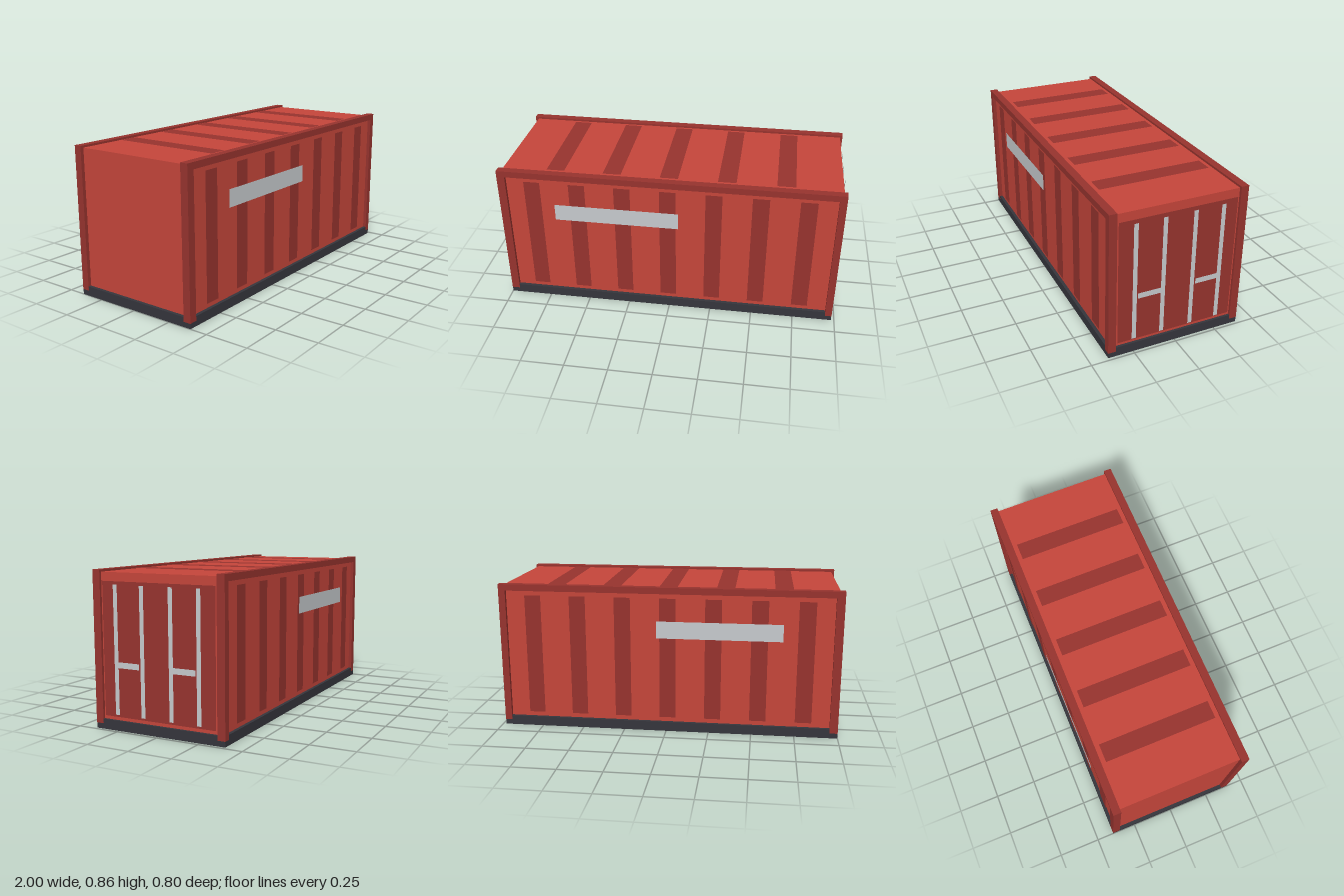
import * as THREE from 'three';

const mat = (name, color) => {
  const m = new THREE.MeshStandardMaterial({ color, side: THREE.DoubleSide });
  m.name = name;
  return m;
};

export function createModel() {
  const red = mat('containerRed', 0xc4453a);
  const darkRed = mat('darkRed', 0x96332e);
  const silver = mat('silver', 0xc5c9cc);
  const charcoal = mat('charcoal', 0x35353c);
  const model = new THREE.Group();
  model.name = 'shippingContainer';

  // Box given by its lower and upper corners
  const box = (name, material, [x0, y0, z0], [x1, y1, z1]) => {
    const mesh = new THREE.Mesh(new THREE.BoxGeometry(x1 - x0, y1 - y0, z1 - z0), material);
    mesh.position.set((x0 + x1) / 2, (y0 + y1) / 2, (z0 + z1) / 2);
    mesh.name = name;
    model.add(mesh);
  };
  // Flat plate facing +z, turned about x or y
  const plate = (name, material, w, h, pos, rx = 0, ry = 0) => {
    const mesh = new THREE.Mesh(new THREE.PlaneGeometry(w, h), material);
    mesh.position.set(...pos);
    mesh.rotation.set(rx, ry, 0);
    mesh.name = name;
    model.add(mesh);
  };

  const L = -1, R = 0.983, W = 0.397, H = 0.862, MID = -0.008;

  // Body shell
  box('body', red, [-0.98, 0.047, -0.377], [0.968, 0.85, 0.377]);

  // Base skirt, open underneath
  const e = 0.001, yb = 0.055;
  for (const s of [-1, 1]) {
    const z = [s * (W - e), s * 0.375].sort((a, b) => a - b);
    box('baseSideRail', charcoal, [L + e, 0, z[0]], [R - e, yb, z[1]]);
  }
  box('baseEndRail', charcoal, [L + e, 0, -0.375], [-0.979, yb, 0.375]);
  box('baseEndRail', charcoal, [0.966, 0, -0.375], [R - e, yb, 0.375]);

  for (const s of [-1, 1]) {
    const [z0, z1] = s > 0 ? [0.352, W] : [-W, -0.352];
    const turn = s > 0 ? 0 : Math.PI;

    // Corner posts and top rail
    box('cornerPost', darkRed, [L, 0.03, z0], [-0.953, H, z1]);
    box('cornerPost', darkRed, [0.943, 0.03, z0], [R, H, z1]);
    box('topRail', darkRed, [-0.953, 0.825, z0], [0.943, H, z1]);

    // Side ribs
    for (let i = -3; i <= 3; i++) {
      plate('sideRib', darkRed, 0.095, 0.715, [MID + i * 0.264, 0.44, s * 0.384], 0, turn);
    }
    // Blank sign panel
    plate('signPanel', silver, 0.724, 0.1, [-0.307, 0.617, s * 0.4], 0, turn);
  }

  // Roof ribs
  for (let i = -2; i <= 2; i++) {
    plate('roofRib', darkRed, 0.104, 0.65, [MID + i * 0.33, 0.856, 0], -Math.PI / 2);
  }

  // Door with locking rods and handles
  const side = Math.PI / 2;
  plate('door', darkRed, 0.682, 0.728, [0.975, 0.439, 0], 0, side);
  for (const s of [-1, 1]) {
    for (const z of [0.087, 0.251]) {
      plate('lockingRod', silver, 0.025, 0.697, [0.988, 0.4385, s * z], 0, side);
    }
    plate('doorHandle', silver, 0.139, 0.032, [1, 0.364, s * 0.169], 0, side);
  }

  return model;
}
